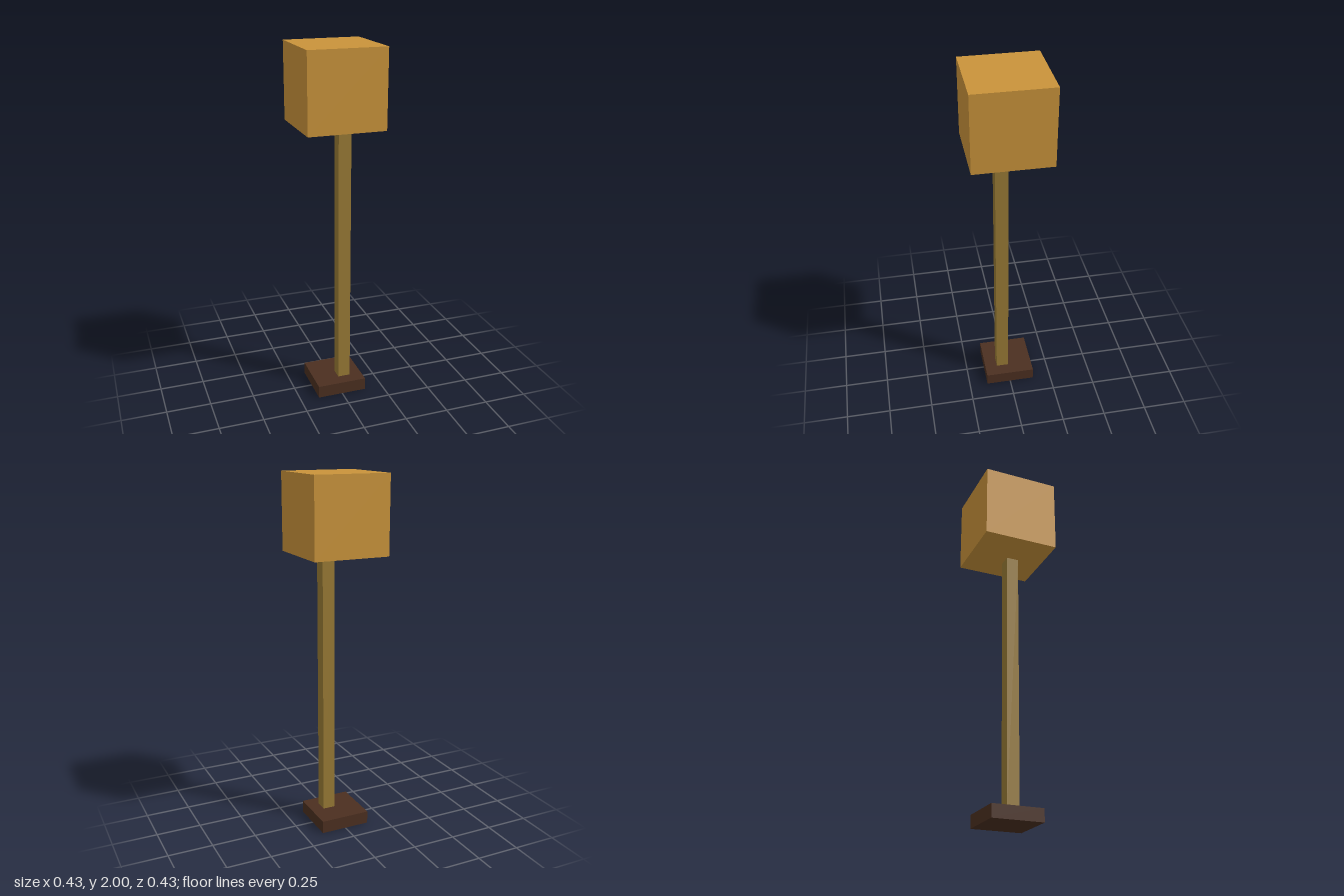
import * as THREE from 'three';

// The whole lamp sits on a block grid, 28 units tall
const U = 2 / 28;

export function createModel() {
  const group = new THREE.Group();
  group.name = 'floorLamp';

  const material = (name, color) => {
    const m = new THREE.MeshStandardMaterial({ color });
    m.name = name;
    return m;
  };

  // Adds a box from its width, height and depth and the centre of its underside, in grid units
  const addBox = (name, mat, [w, h, d], [x, y, z]) => {
    const mesh = new THREE.Mesh(new THREE.BoxGeometry(w * U, h * U, d * U), mat);
    mesh.name = name;
    mesh.position.set(x * U, (y + h / 2) * U, z * U);
    group.add(mesh);
  };

  // Square foot
  addBox('base', material('darkBrown', 0x4b2f20), [4, 1, 4], [0, 0, 0]);
  // Post, one grid unit thick and set half a unit off centre
  addBox('post', material('oliveWood', 0x987a35), [1, 21, 1], [0.5, 1, 0.5]);
  // Cube shade
  addBox('shade', material('amber', 0xc9933a), [6, 6, 6], [0, 22, 0]);

  return group;
}
